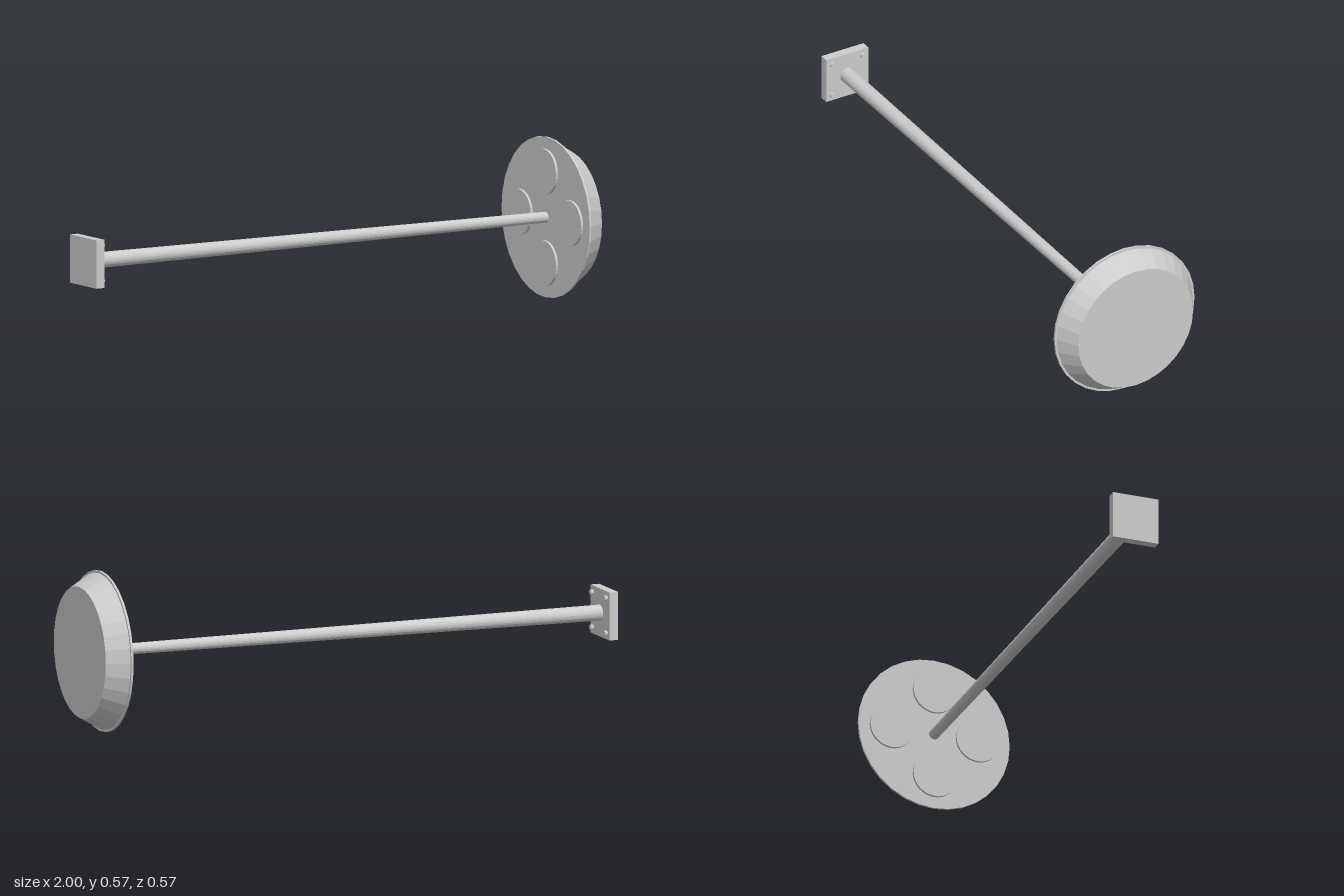
import * as THREE from 'three';

export function createModel() {
  const model = new THREE.Group();
  model.name = 'lampPost';
  const metal = new THREE.MeshStandardMaterial({ color: 0xcccccc, flatShading: true });
  metal.name = 'light grey metal';

  // The lamp is built upright along y, then laid on its side along x
  const lamp = new THREE.Group();
  lamp.name = 'lamp';
  lamp.rotation.z = -Math.PI / 2;
  lamp.position.y = 0.283;
  model.add(lamp);

  const add = (name, geometry, x, y, z) => {
    const mesh = new THREE.Mesh(geometry, metal);
    mesh.name = name;
    mesh.position.set(x, y, z);
    lamp.add(mesh);
  };
  // Cylinder or cone between two heights
  const rod = (name, rTop, rBottom, y0, y1, sides, x = 0, z = 0) =>
    add(name, new THREE.CylinderGeometry(rTop, rBottom, y1 - y0, sides), x, (y0 + y1) / 2, z);

  // Square mounting plate with four bolts
  add('basePlate', new THREE.BoxGeometry(0.17, 0.033, 0.17), 0, -0.9835, 0);
  for (const x of [-0.062, 0.062]) {
    for (const z of [-0.062, 0.062]) rod('bolt', 0.009, 0.009, -0.97, -0.956, 12, x, z);
  }

  // Tapered pole
  rod('pole', 0.019, 0.028, -0.967, 0.918, 24);

  // Shallow head: thin rim flange and tapered cap
  rod('headRim', 0.283, 0.283, 0.916, 0.924, 32);
  rod('headCap', 0.232, 0.275, 0.924, 1, 32);

  // Four round light discs around the pole
  for (let i = 0; i < 4; i++) {
    const a = (i * Math.PI) / 2;
    rod('lightDisc', 0.08, 0.08, 0.907, 0.917, 32, 0.161 * Math.cos(a), 0.161 * Math.sin(a));
  }
  return model;
}
